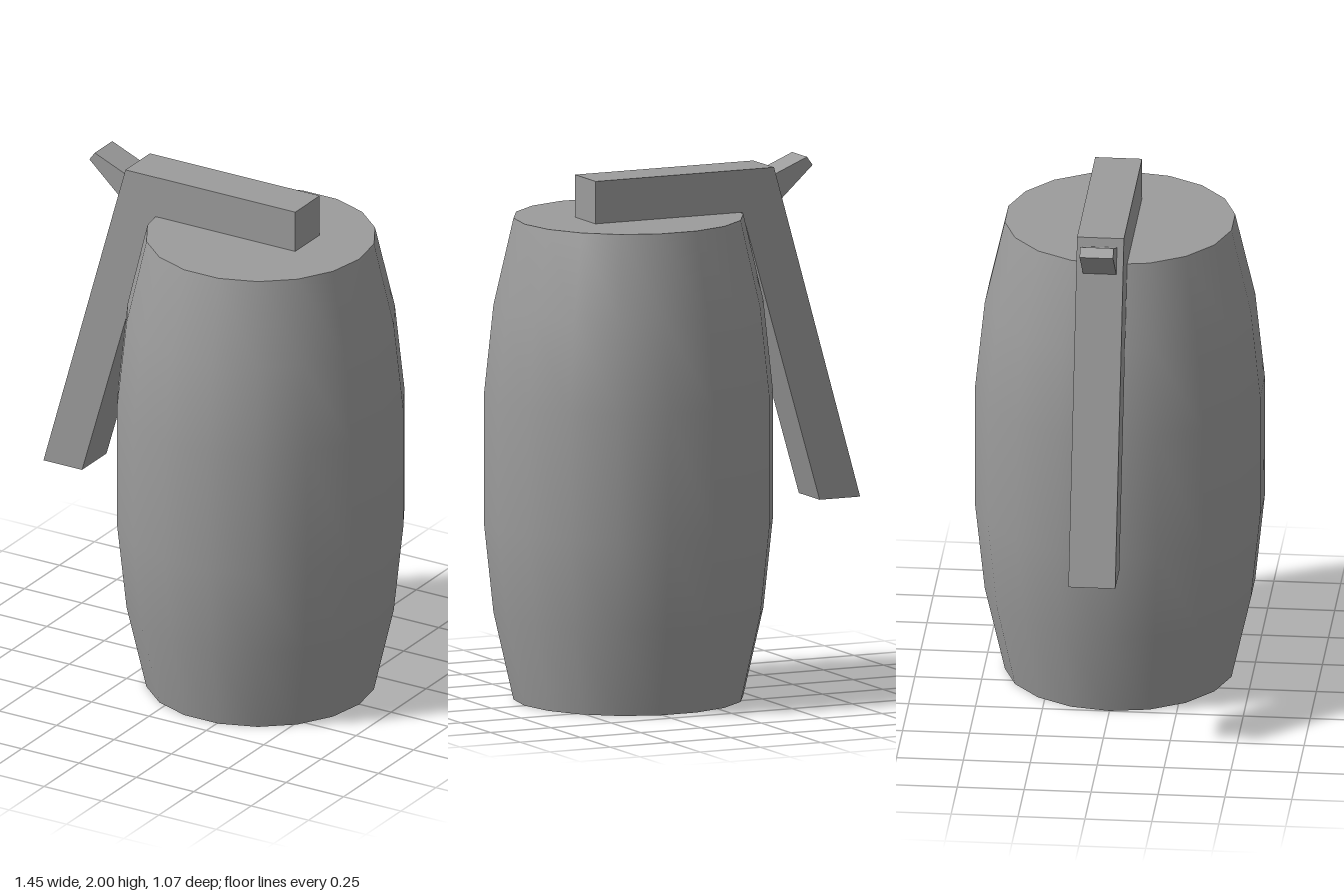
import * as THREE from 'three';

const grey = () => new THREE.MeshStandardMaterial({ color: 0x9c9c9c });

// Prism from a side outline (x, y), spanning z0 to z1
function prism(name, outline, z0, z1) {
  const shape = new THREE.Shape(outline.map(([x, y]) => new THREE.Vector2(x, y)));
  const geometry = new THREE.ExtrudeGeometry(shape, { depth: z1 - z0, bevelEnabled: false });
  geometry.translate(0, 0, z0);
  const mesh = new THREE.Mesh(geometry, grey());
  mesh.name = name;
  return mesh;
}

export function createModel() {
  const model = new THREE.Group();
  model.name = 'barrelWithLever';
  const sides = 18;

  // Barrel: smooth bulging wall with flat ends
  const barrel = new THREE.Group();
  barrel.name = 'barrel';
  barrel.position.x = 0.182;
  const profile = [[0.43, 0], [0.505, 0.33], [0.541, 0.67], [0.541, 1.15], [0.505, 1.49], [0.43, 1.815]];
  const wallGeometry = new THREE.LatheGeometry(profile.map(([r, y]) => new THREE.Vector2(r, y)), sides);
  wallGeometry.rotateY(Math.PI / 2);
  const wall = new THREE.Mesh(wallGeometry, grey());
  wall.name = 'barrelWall';
  barrel.add(wall);

  for (const [name, y, tilt] of [['barrelTop', 1.815, -1], ['barrelBottom', 0, 1]]) {
    const cap = new THREE.Mesh(new THREE.CircleGeometry(0.43, sides), grey());
    cap.name = name;
    cap.rotation.x = tilt * Math.PI / 2;
    cap.position.y = y;
    barrel.add(cap);
  }
  model.add(barrel);

  // Bent lever: bar across the top and long slanting arm
  model.add(prism('lever', [
    [-0.368, 1.975], [-0.725, 0.708], [-0.557, 0.708], [-0.237, 1.815], [0.372, 1.815], [0.372, 1.975],
  ], -0.11, 0.065));

  // Small tapered tab behind the bend
  model.add(prism('tab', [
    [-0.54, 1.968], [-0.4, 1.84], [-0.36, 1.9], [-0.365, 1.937], [-0.517, 2.0],
  ], -0.085, 0.04));

  return model;
}
